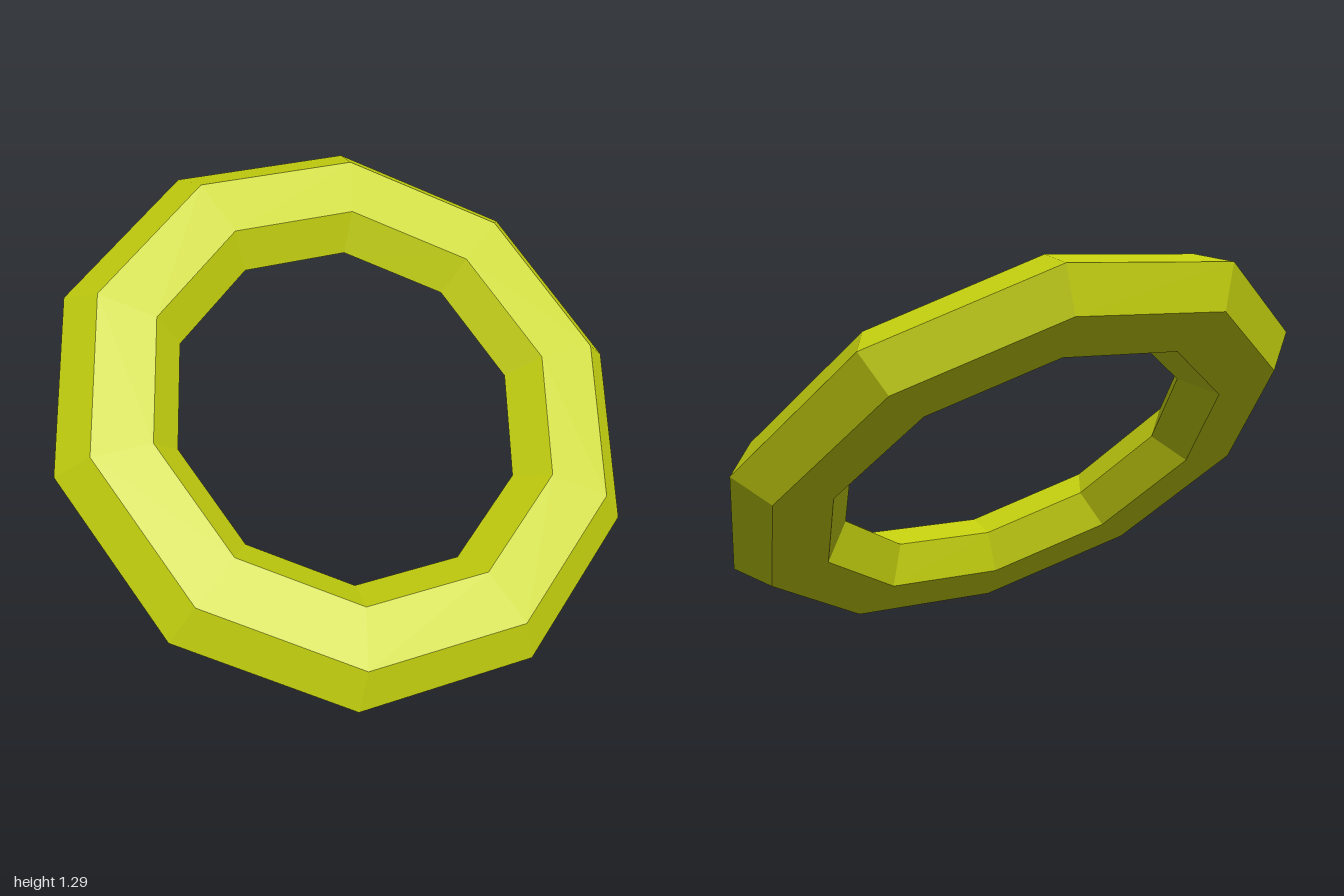
import * as THREE from 'three';

export function createModel() {
  const group = new THREE.Group();
  group.name = 'tiltedRing';

  // Ten-segment ring with a flattened six-sided cross-section
  const geometry = new THREE.TorusGeometry(0.8, 0.2, 6, 10);
  geometry.scale(1, 1, 0.65);

  const material = new THREE.MeshStandardMaterial({ color: 0xc6d20f, flatShading: true });
  const ring = new THREE.Mesh(geometry, material);
  ring.name = 'ring';

  // Lean the ring back so its lower edge rests on the ground
  ring.rotation.x = THREE.MathUtils.degToRad(-49);
  ring.position.y = 0.655;
  group.add(ring);
  return group;
}
